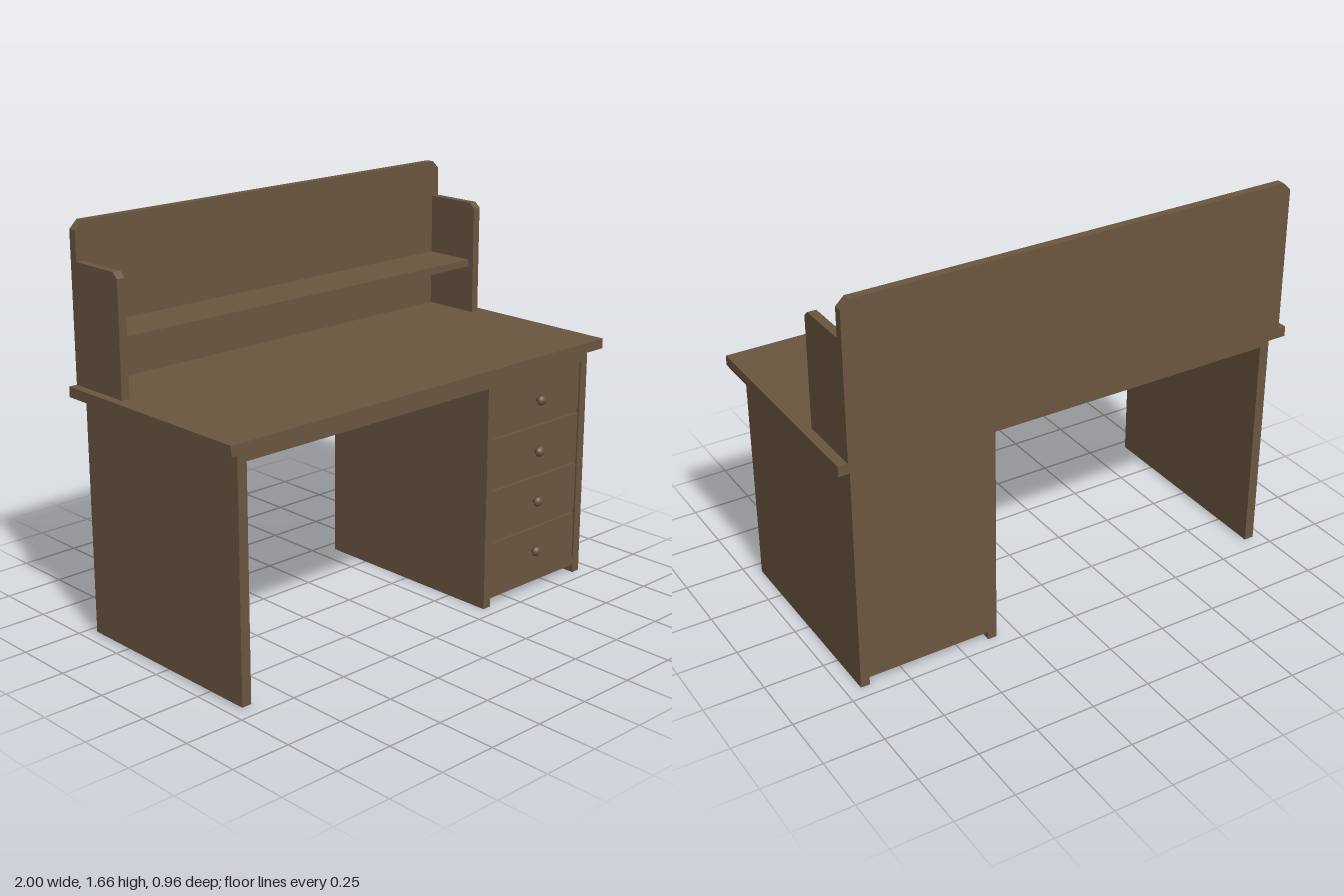
import * as THREE from 'three';

export function createModel() {
  const desk = new THREE.Group();
  desk.name = 'desk';
  const wood = new THREE.MeshStandardMaterial({ color: 0x6b5640 });
  wood.name = 'brown wood';

  const add = (name, geometry) => {
    const mesh = new THREE.Mesh(geometry, wood);
    mesh.name = name;
    desk.add(mesh);
    return mesh;
  };

  // Box given by its limits on each axis
  const board = (name, [x0, x1], [y0, y1], [z0, z1]) =>
    add(name, new THREE.BoxGeometry(x1 - x0, y1 - y0, z1 - z0))
      .position.set((x0 + x1) / 2, (y0 + y1) / 2, (z0 + z1) / 2);

  const plate = (points, depth) => new THREE.ExtrudeGeometry(
    new THREE.Shape(points.map(([x, y]) => new THREE.Vector2(x, y))),
    { depth, bevelEnabled: false });

  // Worktop, the slab under it and the left support
  const depth = [-0.445, 0.445];
  board('worktop', [-1, 1], [0.985, 1.027], [-0.48, 0.474]);
  board('underSlab', [-0.95, 0.938], [0.942, 0.985], depth);
  board('leftSupport', [-0.95, -0.908], [0.01, 0.942], depth);

  // Drawer cabinet
  board('cabinetInnerSide', [0.336, 0.374], [0, 0.942], depth);
  board('cabinetOuterSide', [0.9, 0.938], [0, 0.942], depth);
  board('cabinetBody', [0.374, 0.9], [0.035, 0.942], [-0.445, 0.432]);
  board('cabinetBottomRail', [0.374, 0.9], [0.035, 0.07], [0.432, 0.443]);

  // Drawer fronts, each with a round knob
  const knob = new THREE.LatheGeometry([
    [0, 0], [0.01, 0], [0.01, 0.02], [0.022, 0.02], [0.0205, 0.027],
    [0.016, 0.034], [0.009, 0.038], [0, 0.04],
  ].map(([r, h]) => new THREE.Vector2(r, h)), 20).rotateX(Math.PI / 2);
  const drawers = [
    [0.07, 0.275, 0.177], [0.295, 0.5, 0.398],
    [0.52, 0.72, 0.615], [0.74, 0.942, 0.835],
  ];
  drawers.forEach(([y0, y1, knobY], i) => {
    board(`drawerFront${i + 1}`, [0.374, 0.893], [y0, y1], [0.432, 0.443]);
    add(`drawerKnob${i + 1}`, knob).position.set(0.634, knobY, 0.44);
  });

  // Raised back board with clipped top corners
  add('backBoard', plate([
    [-0.965, 1.027], [0.96, 1.027], [0.96, 1.627], [0.926, 1.66],
    [-0.931, 1.66], [-0.965, 1.627],
  ], 0.035)).position.z = -0.48;

  // Shelf sides with a clipped front corner; the profile runs along z
  const sideProfile = [
    [0.195, 1.027], [0.445, 1.027], [0.445, 1.508], [0.22, 1.508], [0.195, 1.486],
  ];
  for (const [name, x] of [['shelfRightSide', -0.965], ['shelfLeftSide', 0.925]]) {
    add(name, plate(sideProfile, 0.035).rotateY(Math.PI / 2)).position.x = x;
  }
  board('shelf', [-0.93, 0.925], [1.228, 1.258], [-0.445, -0.22]);

  return desk;
}
